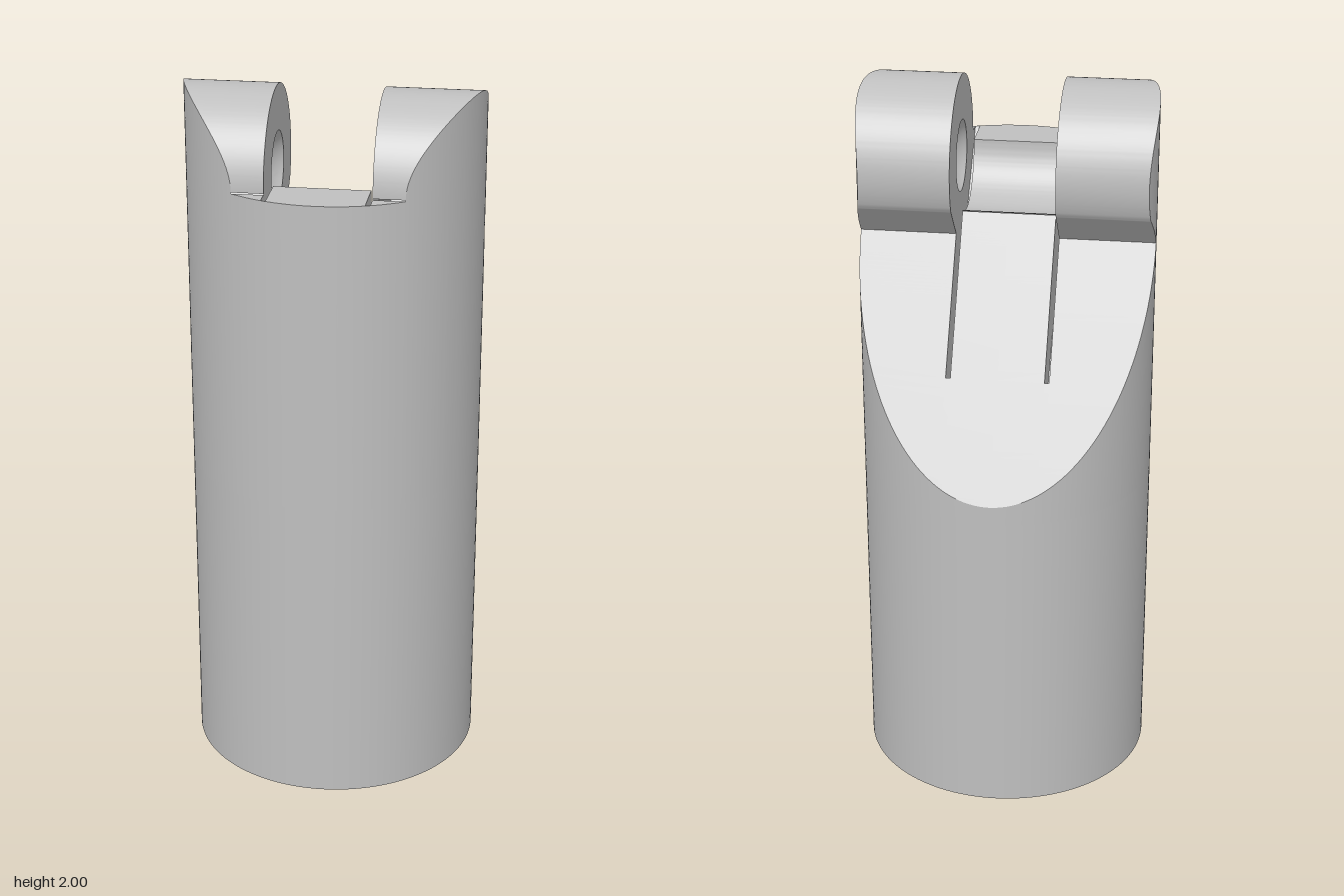
import * as THREE from 'three';
import { mergeGeometries, toCreasedNormals } from 'three/addons/utils/BufferGeometryUtils.js';

const R = 0.41;                 // shaft radius
const BASE = 0.9;               // height where the plain shaft ends
const SHELF = 1.77;             // front shelf height
const TONGUE = 0.13, GAP = 0.143; // half widths of tongue and of gap between lugs
const LZ = 0.1135, LY = 1.7735, LR = 0.2265; // lug circle
const GR = 0.15;                // groove radius in the tongue
const SLIT = -0.22;             // rear end of the slits
const halfWidth = (z) => Math.sqrt(Math.max(0, R * R - z * z));
const END = halfWidth(GAP);

// Profile heights along z
const slant = (z) => 1.585 + z * 1.54;
const arc = (z, r) => Math.sqrt(Math.max(0, r * r - (z - LZ) ** 2));
const lugTop = (z) => LY + arc(z, LR);
const lugUnder = (z) => (z < -0.095 ? LY - arc(z, LR) : 1.585 - z * 1.05);
const shelf = () => SHELF;
const groove = (z) => SHELF - arc(z, GR);
const slitFloor = (z) => Math.min(SHELF, 1.1 + ((z - SLIT) / (END - SLIT)) * (SHELF - 1.1));
const slitOrSlant = (z) => (z < SLIT ? slant(z) : slitFloor(z));

// Sample positions along z, denser where the circles turn steep
function stations(from, to) {
  const all = [from, to, SLIT, -0.095, halfWidth(TONGUE), -halfWidth(TONGUE), END, -END];
  for (let i = 0; i <= 72; i++) {
    const s = Math.sin((i / 72 - 0.5) * Math.PI);
    all.push(R * s, LZ + LR * s, LZ + GR * s);
  }
  return all.filter((z) => z >= from && z <= to).sort((a, b) => a - b)
    .filter((z, i, list) => i === 0 || z - list[i - 1] > 1e-5);
}

function fromTriangles(positions) {
  const g = new THREE.BufferGeometry();
  g.setAttribute('position', new THREE.Float32BufferAttribute(positions, 3));
  return g;
}

function quad(out, a, b, c, d) {
  out.push(...a, ...b, ...c, ...a, ...c, ...d);
}

// A slice from x = a to x = b, trimmed by the shaft's round wall.
// wallFrom gives the foot of the flat side wall at x = b (null for none).
function slab(a, b, from, to, hi, { wallFrom = null, under = null } = {}) {
  const out = [], zs = stations(from, to);
  for (let i = 0; i + 1 < zs.length; i++) {
    const z0 = zs[i], z1 = zs[i + 1];
    const x0 = Math.max(a, Math.min(b, halfWidth(z0)));
    const x1 = Math.max(a, Math.min(b, halfWidth(z1)));
    const h0 = hi(z0), h1 = hi(z1);
    quad(out, [a, h0, z0], [a, h1, z1], [x1, h1, z1], [x0, h0, z0]);
    const round = halfWidth((z0 + z1) / 2) < b;
    const foot = round ? under || (() => BASE) : wallFrom;
    if (foot && h0 + h1 - foot(z0) - foot(z1) > 1e-4) {
      quad(out, [x0, foot(z0), z0], [x0, h0, z0], [x1, h1, z1], [x1, foot(z1), z1]);
    }
    if (under) {
      quad(out, [a, under(z0), z0], [x0, under(z0), z0], [x1, under(z1), z1], [a, under(z1), z1]);
    }
  }
  return fromTriangles(out);
}

// Positions only, with optional reversed corner order
function plain(geometry, reverse = false) {
  const p = [...(geometry.index ? geometry.toNonIndexed() : geometry).attributes.position.array];
  if (reverse) {
    for (let i = 0; i < p.length; i += 9) {
      const second = p.slice(i + 3, i + 6);
      for (let k = 0; k < 3; k++) {
        p[i + 3 + k] = p[i + 6 + k];
        p[i + 6 + k] = second[k];
      }
    }
  }
  return fromTriangles(p);
}

const mirrored = (g) => plain(g.clone().scale(-1, 1, 1), true);

// Flat inner cheek of a lug, with the round hole for the pin dimple
function cheek() {
  const points = [];
  const trace = (zs, f) => zs.forEach((z) => points.push(new THREE.Vector2(z, f(z))));
  trace(stations(SLIT, -0.001), slant);
  trace(stations(LZ - LR + 0.0001, 0).reverse(), lugUnder);
  trace(stations(LZ - LR, LZ + LR), lugTop);
  trace([LZ + LR + 0.0005, END], shelf);
  trace([SLIT], slitFloor);
  const shape = new THREE.Shape(points);
  shape.holes.push(new THREE.Path().absarc(LZ, LY, 0.1, 0, Math.PI * 2, true));
  return plain(new THREE.ShapeGeometry(shape, 24).rotateY(-Math.PI / 2).translate(GAP, 0, 0));
}

// Shallow spherical dimple sunk into the cheek
function dimple() {
  const cap = new THREE.SphereGeometry(0.125, 48, 10, 0, Math.PI * 2, 0, Math.asin(0.8));
  return plain(cap.rotateZ(-Math.PI / 2).translate(GAP - 0.075, LY, LZ), true);
}

export function createModel() {
  const group = new THREE.Group();
  const steel = new THREE.MeshStandardMaterial({ color: 0xbfbfbf, side: THREE.DoubleSide });
  steel.name = 'steelGrey';

  const add = (name, parts) => {
    const mesh = new THREE.Mesh(toCreasedNormals(mergeGeometries(parts), 0.5), steel);
    mesh.name = name;
    group.add(mesh);
  };

  // Plain round shaft with its bottom disc
  add('shaft', [
    plain(new THREE.CylinderGeometry(R, R, BASE, 144, 1, true).translate(0, BASE / 2, 0)),
    plain(new THREE.CircleGeometry(R, 144).rotateX(Math.PI / 2)),
  ]);

  // Central tongue: slanted back, pin groove, front shelf
  const side = { wallFrom: slitOrSlant };
  const tongue = [
    slab(0, TONGUE, -R, 0.035, slant, side),
    slab(0, TONGUE, 0.035, LZ + GR, groove, side),
    slab(0, TONGUE, LZ + GR, R, shelf, side),
  ];
  add('tongue', [...tongue, ...tongue.map(mirrored)]);

  // Narrow slits beside the tongue
  const slitEnd = [];
  quad(slitEnd, [TONGUE, slitFloor(SLIT), SLIT], [GAP, slitFloor(SLIT), SLIT],
    [GAP, slant(SLIT), SLIT], [TONGUE, slant(SLIT), SLIT]);
  const slit = [
    slab(TONGUE, GAP, -halfWidth(TONGUE), SLIT, slant),
    slab(TONGUE, GAP, SLIT, halfWidth(TONGUE), slitFloor),
    fromTriangles(slitEnd),
  ];
  add('slits', [...slit, ...slit.map(mirrored)]);

  // Side bodies rising into the rounded lugs
  const lug = [
    slab(GAP, R, -END, 0, slant),
    slab(GAP, R, 0, LZ + LR, lugTop),
    slab(GAP, R, LZ + LR, END, shelf),
    slab(GAP, R, LZ - LR, 0, lugTop, { under: lugUnder }),
    cheek(),
    dimple(),
  ];
  add('leftLug', lug);
  add('rightLug', lug.map(mirrored));

  return group;
}
